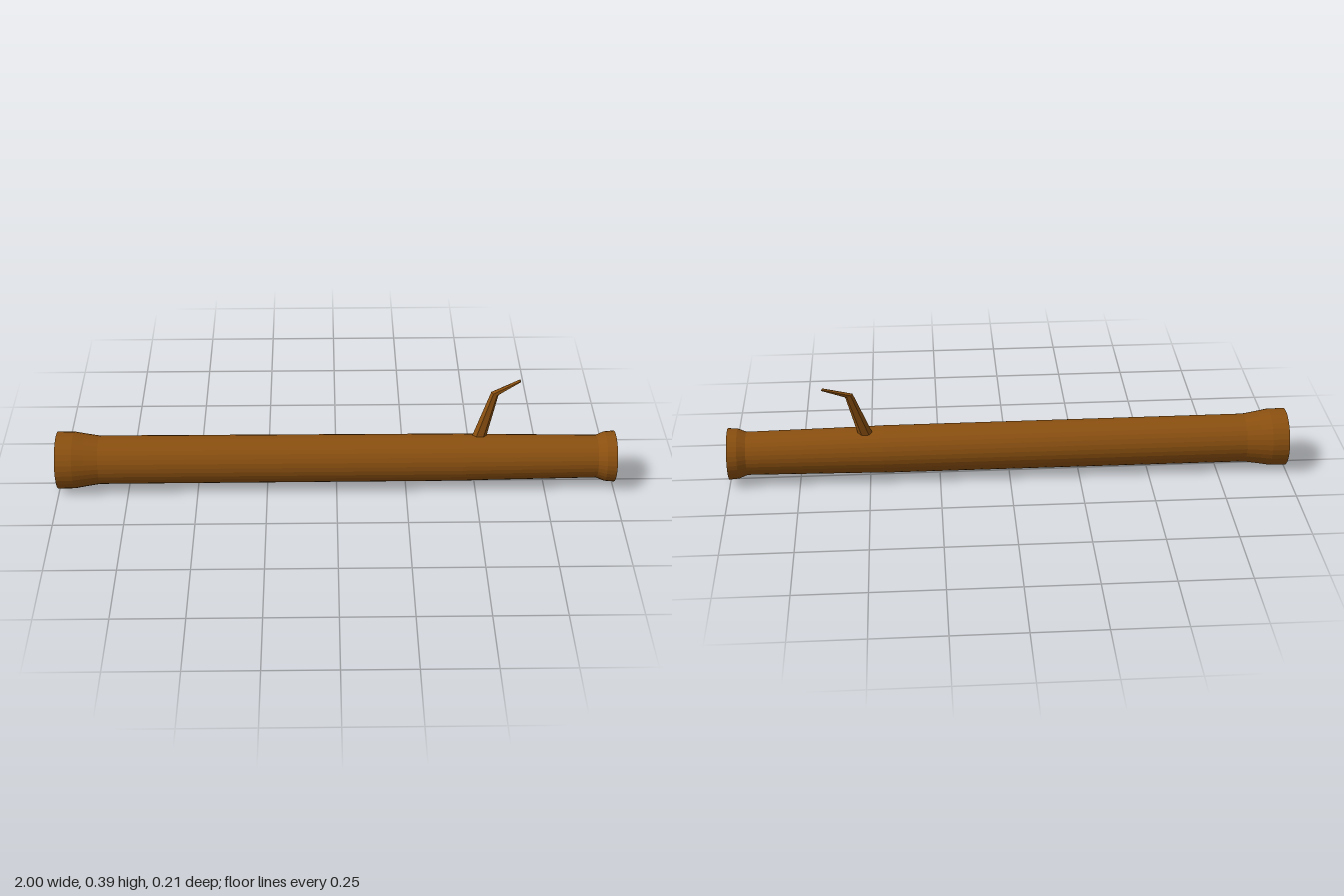
import * as THREE from 'three';

const bark = new THREE.MeshStandardMaterial({ color: 0x8b5010, flatShading: true });
const SIDES = 32, AXIS_Y = 0.104;

// Log lying along x: flared ends, slight taper; [x, radius]
function makeLog() {
  const profile = [
    [-1, 0], [-1, 0.103], [-0.94, 0.102], [-0.9, 0.095], [-0.85, 0.087],
    [0.45, 0.085], [0.53, 0.083], [0.935, 0.077], [0.965, 0.089], [1, 0.092], [1, 0],
  ].map(([x, r]) => new THREE.Vector2(r, x));
  const geometry = new THREE.LatheGeometry(profile, SIDES).rotateZ(-Math.PI / 2);
  const log = new THREE.Mesh(geometry, bark);
  log.name = 'log';
  log.position.y = AXIS_Y;
  return log;
}

// Bent twig lofted through tilted hexagonal rings
function makeBranch() {
  const n = 6;
  const rings = [
    { c: [0.507, 0.165, -0.017], u: [0.027, 0], w: 0.017 },
    { c: [0.562, 0.347, -0.045], u: [0.013, -0.007], w: 0.011 },
    { c: [0.653, 0.385, -0.068], u: [0.002, -0.003], w: 0.008 },
  ];
  const positions = [], index = [];
  rings.forEach(({ c, u, w }, r) => {
    for (let k = 0; k < n; k++) {
      const a = (k / n) * Math.PI * 2, cos = Math.cos(a), sin = Math.sin(a);
      positions.push(c[0] + u[0] * cos, c[1] + u[1] * cos, c[2] + w * sin);
      if (r === rings.length - 1) continue;
      const i = r * n + k, j = r * n + (k + 1) % n;
      index.push(i, i + n, j, j, i + n, j + n);
    }
  });
  // Tip cap
  const tip = (rings.length - 1) * n;
  for (let k = 1; k < n - 1; k++) index.push(tip, tip + k + 1, tip + k);
  const geometry = new THREE.BufferGeometry();
  geometry.setAttribute('position', new THREE.Float32BufferAttribute(positions, 3));
  geometry.setIndex(index);
  geometry.computeVertexNormals();
  const branch = new THREE.Mesh(geometry, bark);
  branch.name = 'branch';
  return branch;
}

export function createModel() {
  const group = new THREE.Group();
  group.name = 'logWithBranch';
  group.add(makeLog(), makeBranch());
  return group;
}
